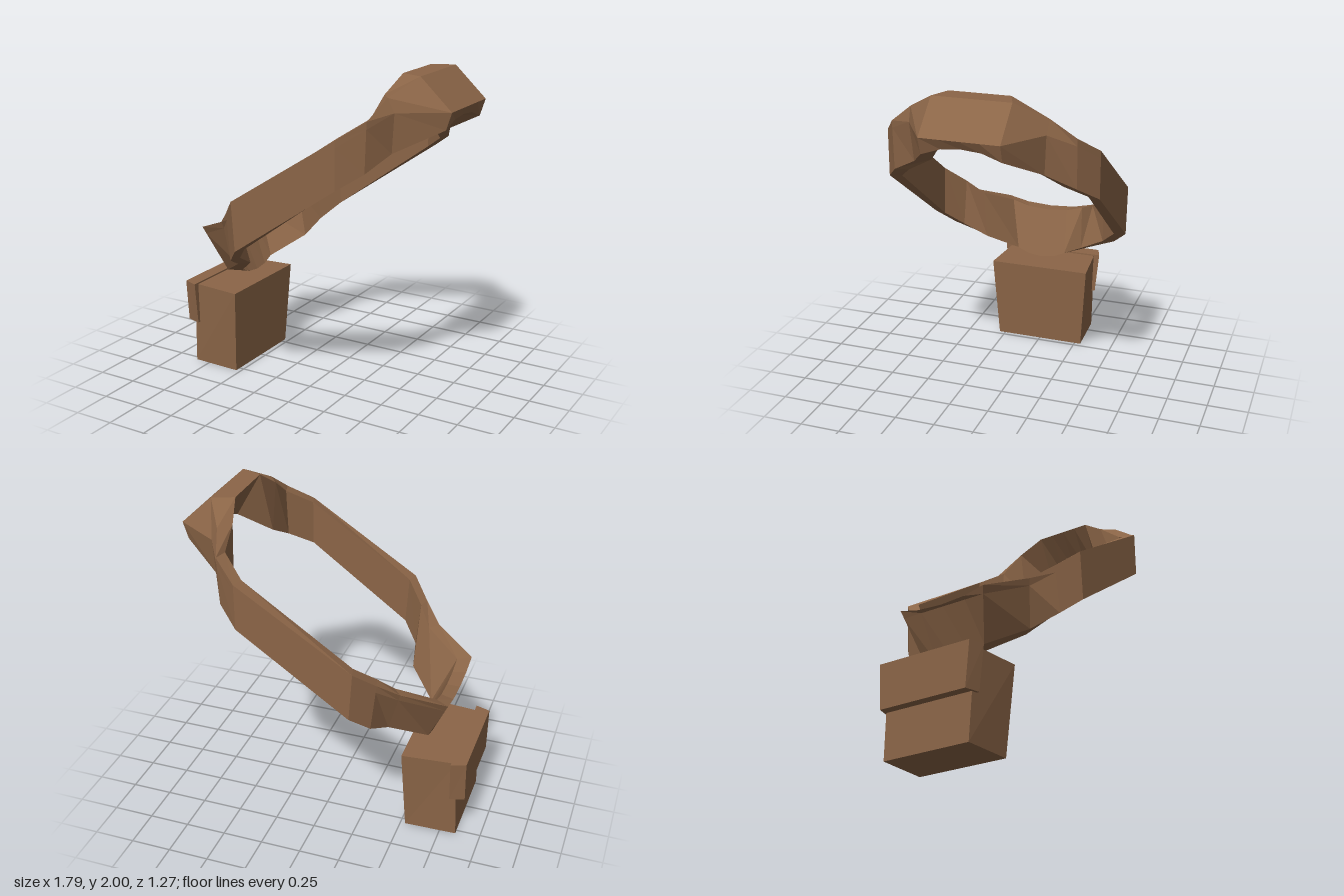
import * as THREE from 'three';

const leather = new THREE.MeshStandardMaterial({ color: 0x8b6547, flatShading: true, roughness: 0.9 });

// Skin a closed ring of equal-length cross-sections
function skinRing(sections) {
  const n = sections[0].length, pos = [];
  sections.forEach((s, i) => {
    const t = sections[(i + 1) % sections.length];
    for (let j = 0; j < n; j++) {
      const k = (j + 1) % n;
      pos.push(...s[j], ...s[k], ...t[k], ...s[j], ...t[k], ...t[j]);
    }
  });
  const g = new THREE.BufferGeometry();
  g.setAttribute('position', new THREE.Float32BufferAttribute(pos, 3));
  g.computeVertexNormals();
  return g;
}

// Strap cross-section: outer top corner, lean towards the outer bottom corner,
// offset to the inner corners, and a ridge along the outer face
function strapSection({ top, lean, inset, ridgeAt = 0.15, bulge = 0 }) {
  const [ix, iz] = inset;
  const bottom = top.map((v, i) => v + lean[i]);
  const ridge = top.map((v, i) => v + lean[i] * ridgeAt);
  ridge[0] += bulge;
  const inner = ([x, y, z]) => [x + ix, y, z + iz];
  return [top, ridge, bottom, inner(bottom), inner(top)];
}

// Copy of an end section moved towards the centre line, with its edges raised or lowered
function towardCentre(section, scaleZ, topRise, bottomRise) {
  return section.map(([x, y, z], i) => {
    const rise = i === 2 || i === 3 ? bottomRise : i === 1 ? 0 : topRise;
    return [x, y + rise, z * scaleZ];
  });
}

// Tilted strap loop, from the low end to the buckle and mirrored across z
function strapGeometry() {
  const side = [
    { top: [-0.76, 0.93, 0.29], lean: [0.13, -0.285, -0.08], inset: [0.08, -0.05] },
    { top: [-0.51, 1.04, 0.43], lean: [0.08, -0.27, -0.05], inset: [0.05, -0.06] },
    { top: [-0.4, 1.14, 0.53], lean: [0.03, -0.29, 0.01], inset: [0.02, -0.07] },
    { top: [-0.29, 1.25, 0.635], lean: [0.02, -0.3, 0], inset: [0.02, -0.07] },
    { top: [0.4, 1.69, 0.635], lean: [0, -0.28, 0], inset: [-0.02, -0.07] },
    { top: [0.54, 1.79, 0.54], lean: [-0.01, -0.29, 0], inset: [-0.02, -0.08] },
    { top: [0.59, 1.9, 0.4], lean: [0.02, -0.31, -0.02], inset: [-0.06, -0.08], ridgeAt: 0.26, bulge: 0.035 },
    { top: [0.7, 2, 0.23], lean: [0.16, -0.28, 0], inset: [-0.13, -0.05], ridgeAt: 0.64, bulge: 0.09 },
  ].map(strapSection);
  const low = side[0], buckle = side[side.length - 1];
  const half = [
    towardCentre(low, 0, -0.04, -0.045),
    towardCentre(low, 0.55, -0.03, -0.033),
    ...side,
    towardCentre(buckle, 0.5, 0, 0.04),
    towardCentre(buckle, 0, 0, 0.05),
  ];
  const mirrored = half.slice(1, -1).reverse().map((s) => s.map(([x, y, z]) => [x, y, -z]));
  return skinRing([...half, ...mirrored]);
}

// Box with its own x range at bottom and top, and half-depths as [bottom, top] of [-x, +x]
function taperedBox(y0, y1, xBottom, xTop, halfDepth) {
  const g = new THREE.BoxGeometry(1, 1, 1).toNonIndexed();
  const p = g.attributes.position;
  for (let i = 0; i < p.count; i++) {
    const r = p.getX(i) > 0 ? 1 : 0, t = p.getY(i) > 0 ? 1 : 0;
    p.setXYZ(i, (t ? xTop : xBottom)[r], t ? y1 : y0, Math.sign(p.getZ(i)) * halfDepth[t][r]);
  }
  g.computeVertexNormals();
  return g;
}

export function createModel() {
  const group = new THREE.Group();
  group.name = 'beltWithPouch';
  const add = (name, geometry) => {
    const mesh = new THREE.Mesh(geometry, leather);
    mesh.name = name;
    group.add(mesh);
  };
  add('beltStrap', strapGeometry());
  add('pouchBody', taperedBox(0, 0.54, [-0.85, -0.53], [-0.83, -0.5], [[0.28, 0.29], [0.295, 0.325]]));
  add('pouchFlap', taperedBox(0.28, 0.55, [-0.895, -0.805], [-0.895, -0.805], [[0.285, 0.31], [0.305, 0.335]]));
  return group;
}
